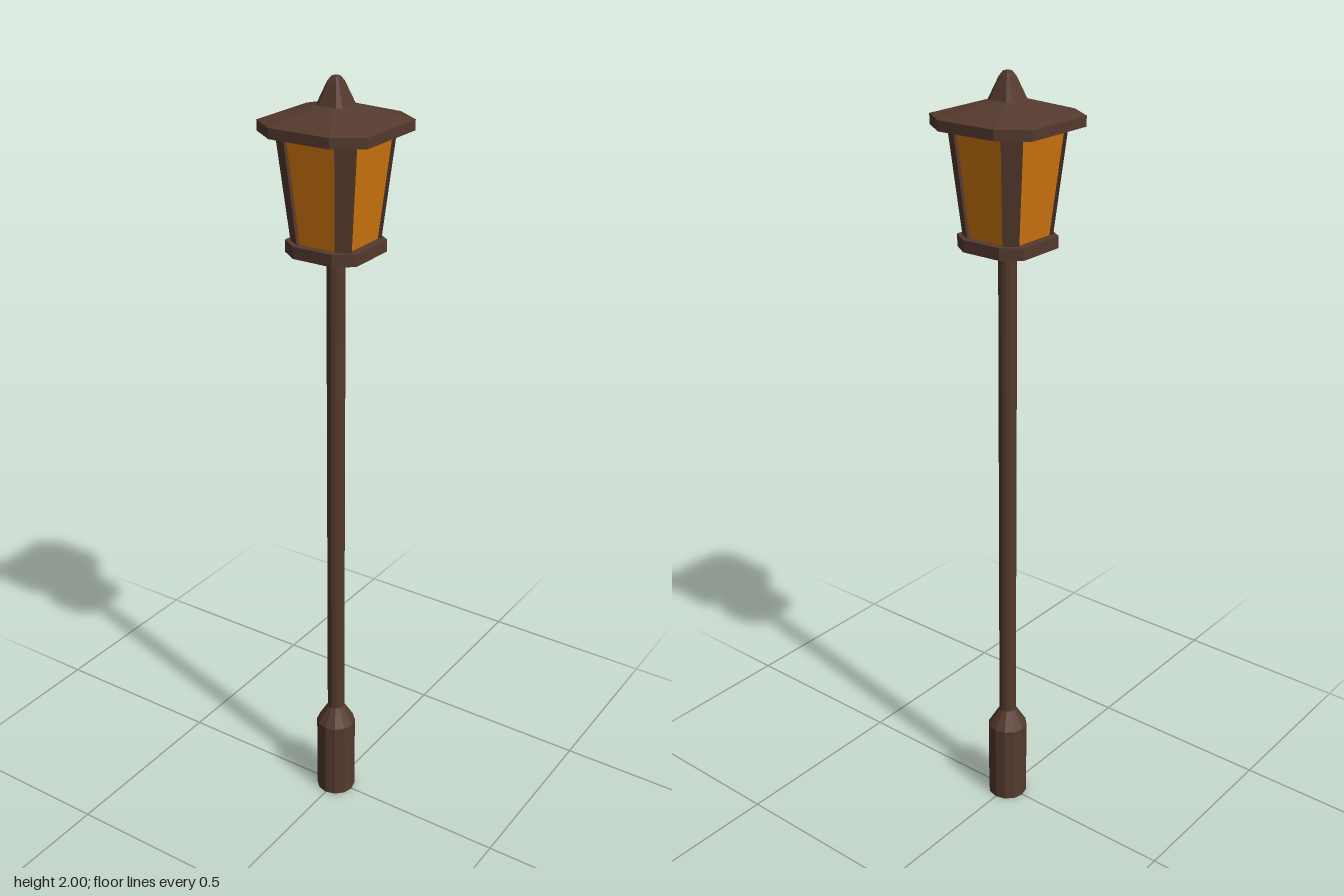
import * as THREE from 'three';

const brown = new THREE.MeshStandardMaterial({ color: 0x553a2e, flatShading: true });
const amber = new THREE.MeshStandardMaterial({ color: 0xd0760f, flatShading: true });

// Closed faceted solid through convex rings: [{ y, ring: [[x, z], ...] }, ...] from bottom to top
function loft(sections) {
  const pos = [];
  const point = (s, i) => {
    const [x, z] = s.ring[i % s.ring.length];
    pos.push(x, s.y, z);
  };
  const n = sections[0].ring.length;
  for (let k = 0; k < sections.length - 1; k++) {
    const b = sections[k], t = sections[k + 1];
    for (let i = 0; i < n; i++) {
      point(b, i); point(t, i); point(t, i + 1);
      point(b, i); point(t, i + 1); point(b, i + 1);
    }
  }
  const bottom = sections[0], top = sections[sections.length - 1];
  for (let i = 1; i < n - 1; i++) {
    point(bottom, 0); point(bottom, i); point(bottom, i + 1);
    point(top, 0); point(top, i + 1); point(top, i);
  }
  const g = new THREE.BufferGeometry();
  g.setAttribute('position', new THREE.Float32BufferAttribute(pos, 3));
  g.computeVertexNormals();
  return g;
}

// Square of half width h with cut corners
function cutSquare(y, h, ra = 0.54, rb = 0.67) {
  const a = h * ra, b = h * rb;
  return { y, ring: [[h, b], [a, h], [-a, h], [-h, b], [-h, -b], [-a, -h], [a, -h], [h, -b]] };
}

// Section of one corner post, mirrored by the signs sx and sz
function postSection(y, h, sx, sz) {
  const a = h * 0.62, b = h * 0.75, d = 0.018;
  const ring = [[h, b], [a, h], [a, h - d], [h - d, b]].map(([x, z]) => [x * sx, z * sz]);
  if (sx * sz < 0) ring.reverse();
  return { y, ring };
}

export function createModel() {
  const model = new THREE.Group();
  const add = (name, geometry, material = brown) => {
    const mesh = new THREE.Mesh(geometry, material);
    mesh.name = name;
    model.add(mesh);
    return mesh;
  };

  // Column: footing, tapered collar and slim pole
  const profile = [[0, 0], [0.053, 0], [0.053, 0.225], [0.023, 0.275], [0.023, 1.6], [0, 1.6]];
  add('column', new THREE.LatheGeometry(profile.map(([r, y]) => new THREE.Vector2(r, y)), 12));

  // Lantern tray
  add('tray', loft([cutSquare(1.59, 0.1), cutSquare(1.62, 0.1)]));

  // Flared glass, set slightly behind the posts
  add('glass', loft([cutSquare(1.61, 0.078, 0.62, 0.75), cutSquare(1.89, 0.106, 0.62, 0.75)]), amber);

  // Four leaning corner posts
  for (const sx of [1, -1]) {
    for (const sz of [1, -1]) {
      add('cornerPost', loft([postSection(1.61, 0.085, sx, sz), postSection(1.89, 0.113, sx, sz)]));
    }
  }

  // Roof with a vertical rim and shallow slope
  add('roof', loft([cutSquare(1.877, 0.15), cutSquare(1.902, 0.15), cutSquare(1.94, 0.025)]));

  // Finial
  add('finial', loft([
    cutSquare(1.925, 0.038, 0.65, 0.78),
    cutSquare(1.936, 0.036, 0.65, 0.78),
    cutSquare(1.988, 0.016, 0.65, 0.78),
    cutSquare(2.0, 0.008, 0.75, 0.85),
  ]));

  return model;
}
